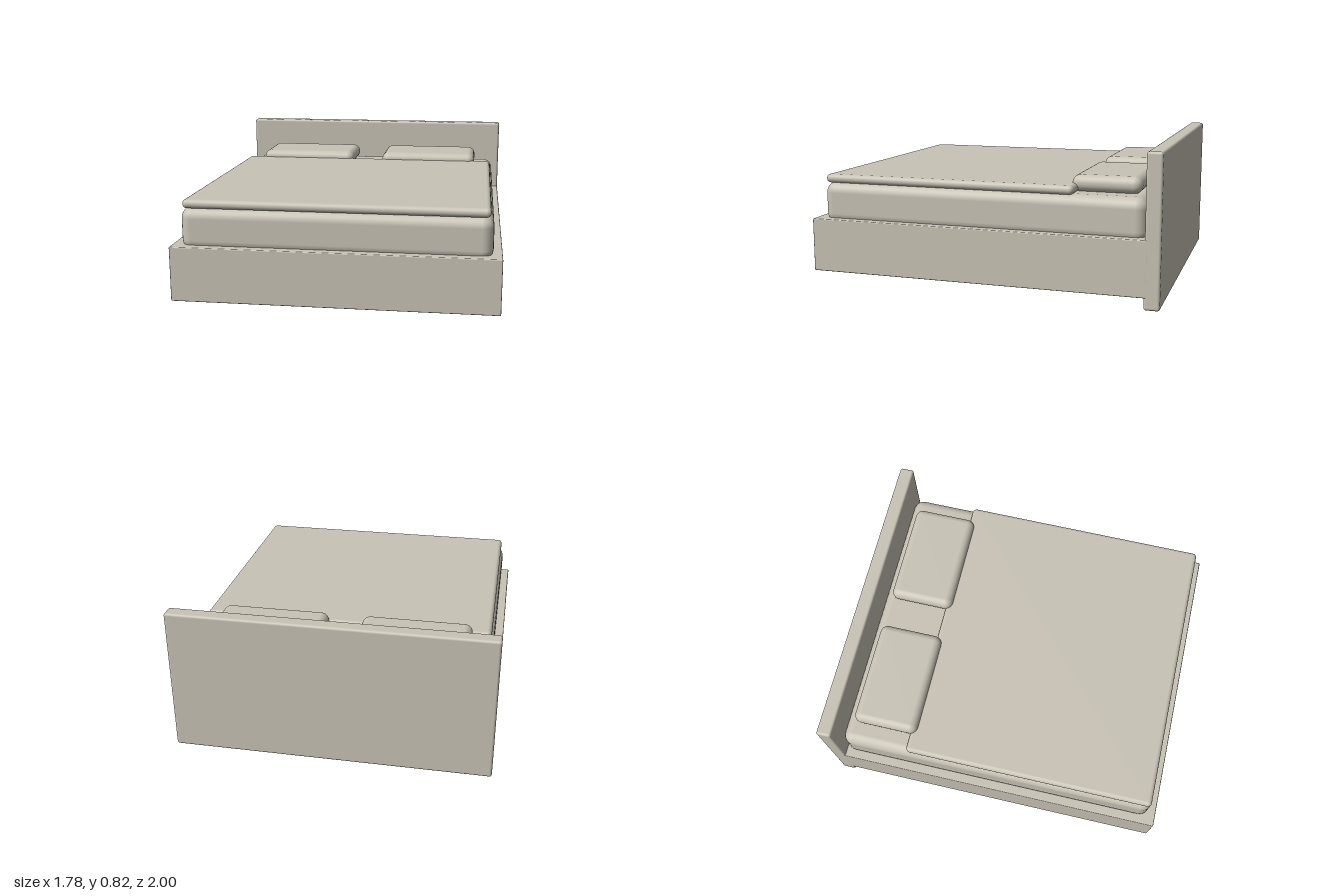
import * as THREE from 'three';
import { RoundedBoxGeometry } from 'three/addons/geometries/RoundedBoxGeometry.js';

export function createModel() {
  const bed = new THREE.Group();
  bed.name = 'bed';
  const linen = new THREE.MeshStandardMaterial({ color: 0xc8c3b5 });
  linen.name = 'warm grey';

  // Rounded block given by its extents on each axis
  function block(name, [x0, x1], [y0, y1], [z0, z1], radius, segments = 3) {
    const mesh = new THREE.Mesh(
      new RoundedBoxGeometry(x1 - x0, y1 - y0, z1 - z0, segments, radius), linen);
    mesh.position.set((x0 + x1) / 2, (y0 + y1) / 2, (z0 + z1) / 2);
    mesh.name = name;
    bed.add(mesh);
  }

  // Base and headboard
  block('bedFrame', [-0.89, 0.89], [0.065, 0.37], [-0.93, 1], 0.006, 2);
  block('headboard', [-0.89, 0.89], [0, 0.825], [-1, -0.915], 0.014);

  // Bedding
  block('mattress', [-0.842, 0.842], [0.335, 0.575], [-0.915, 0.952], 0.06);
  block('duvet', [-0.828, 0.825], [0.57, 0.62], [-0.52, 0.945], 0.0245);

  // Pillows, one on each side
  block('leftPillow', [0.098, 0.722], [0.572, 0.665], [-0.865, -0.482], 0.045);
  block('rightPillow', [-0.722, -0.098], [0.572, 0.665], [-0.865, -0.482], 0.045);

  return bed;
}
